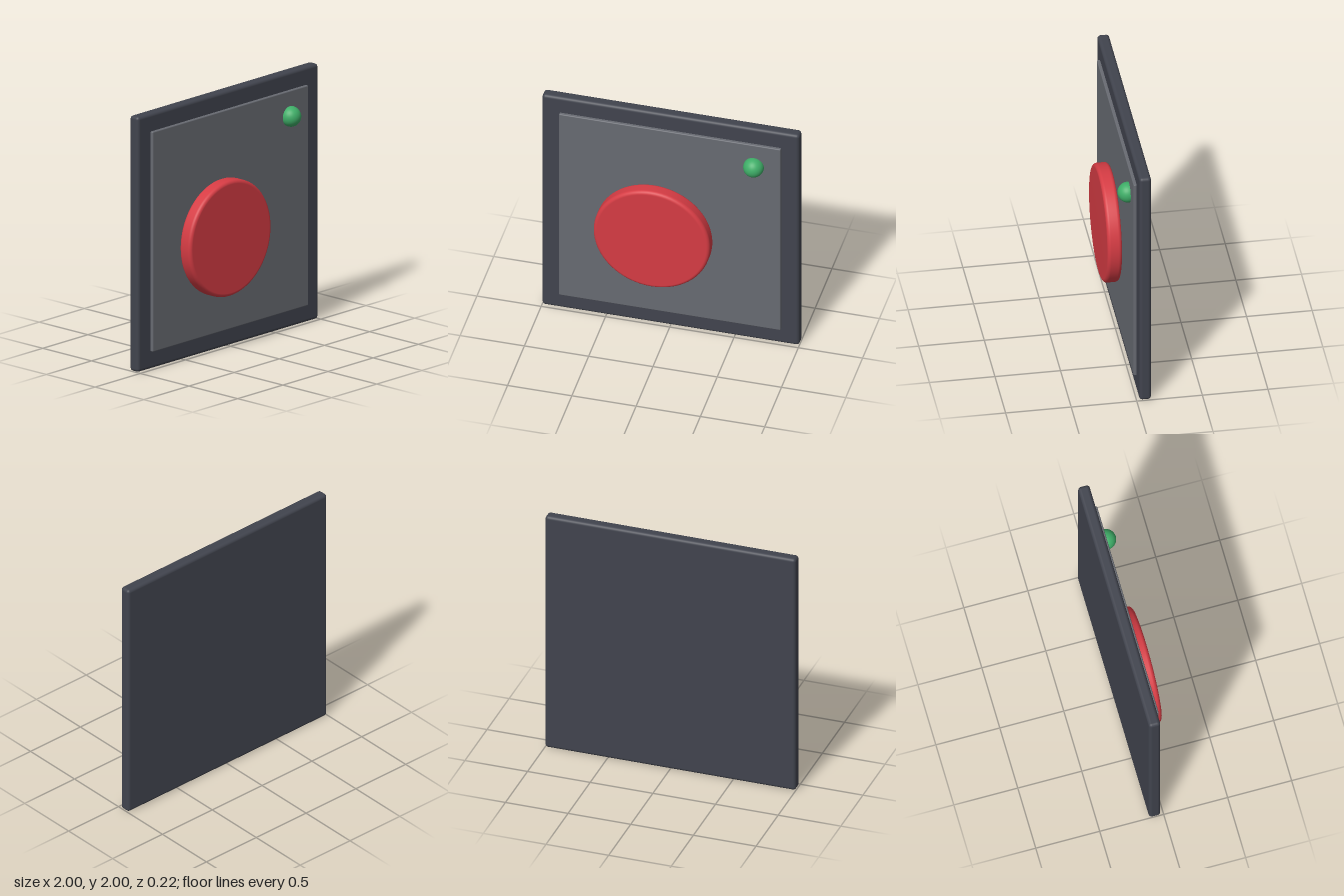
import * as THREE from 'three';
import { RoundedBoxGeometry } from 'three/addons/geometries/RoundedBoxGeometry.js';

export function createModel() {
  const group = new THREE.Group();

  const add = (name, geometry, color, x, y, z) => {
    const mesh = new THREE.Mesh(geometry, new THREE.MeshStandardMaterial({ color }));
    mesh.name = name;
    mesh.position.set(x, y, z);
    group.add(mesh);
    return mesh;
  };

  // Dark backing plate with softened edges
  add('backPlate', new RoundedBoxGeometry(2, 2, 0.09, 4, 0.025), 0x41444e, 0, 1, -0.067);

  // Thin raised face panel
  add('facePanel', new RoundedBoxGeometry(1.724, 1.724, 0.03, 3, 0.008), 0x686b72, 0, 1, -0.013);

  // Round push button: a disc with rounded rims, turned about its axis
  const radius = 0.453, depth = 0.114, bevel = 0.028;
  const profile = [new THREE.Vector2(0, 0)];
  for (const [centre, start] of [[bevel, -Math.PI / 2], [depth - bevel, 0]]) {
    for (let i = 0; i <= 6; i++) {
      const a = start + (i / 6) * Math.PI / 2;
      profile.push(new THREE.Vector2(radius - bevel + bevel * Math.cos(a), centre + bevel * Math.sin(a)));
    }
  }
  profile.push(new THREE.Vector2(0, depth));
  const disc = new THREE.LatheGeometry(profile, 72);
  disc.rotateX(Math.PI / 2);
  add('pushButton', disc, 0xd63c44, -0.115, 0.89, -0.001);

  // Indicator light, partly sunk into the panel
  add('indicatorLight', new THREE.SphereGeometry(0.079, 32, 24), 0x3fae68, 0.655, 1.665, 0.012);

  return group;
}
